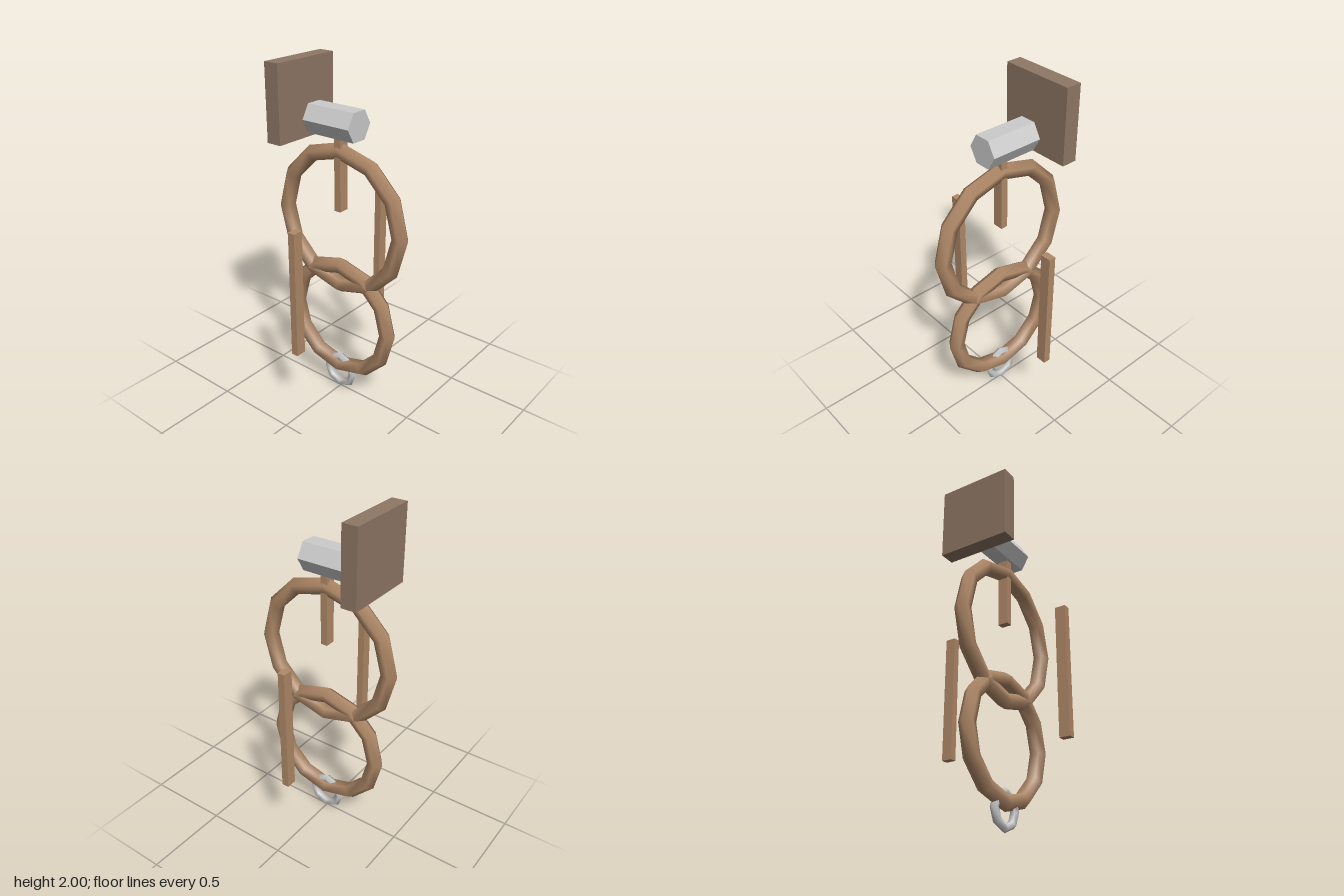
import * as THREE from 'three';

export function createModel() {
  const model = new THREE.Group();
  const wood = new THREE.MeshStandardMaterial({ color: 0xb08968 });
  const darkWood = new THREE.MeshStandardMaterial({ color: 0x8f7765 });
  const metal = new THREE.MeshStandardMaterial({ color: 0xcccccc });
  const metalFlat = new THREE.MeshStandardMaterial({ color: 0xcccccc, flatShading: true });

  function add(name, geometry, material, x, y, z) {
    const mesh = new THREE.Mesh(geometry, material);
    mesh.name = name;
    mesh.position.set(x, y, z);
    model.add(mesh);
  }

  // Upright low-poly ring lying in the y-z plane, with a five-sided tube
  const ring = (radius, tube, segments) =>
    new THREE.TorusGeometry(radius, tube, 5, segments).rotateY(Math.PI / 2);

  // Linked wooden rings and the small metal ring at the foot
  add('upperRing', ring(0.407, 0.048, 12), wood, 0, 1.127, 0);
  add('lowerRing', ring(0.344, 0.048, 12), wood, 0, 0.5, 0);
  add('bottomRing', ring(0.095, 0.025, 8), metal, 0, 0.12, 0);

  // Free-hanging side rods
  for (const [name, s] of [['leftRod', 1], ['rightRod', -1]]) {
    add(name, new THREE.BoxGeometry(0.062, 0.75, 0.042), wood, s * 0.376, 0.815, 0);
  }

  // Central rod hanging from the hexagonal bar
  add('centreRod', new THREE.BoxGeometry(0.062, 0.5, 0.042), wood, 0, 1.44, 0);

  // Hexagonal bar pointing forward, flats on top and bottom
  const bar = new THREE.CylinderGeometry(0.093, 0.093, 0.311, 6, 1, false, Math.PI / 6);
  add('hexBar', bar.rotateX(Math.PI / 2), metalFlat, 0, 1.69, -0.033);

  // Mounting board behind the bar
  add('backBoard', new THREE.BoxGeometry(0.438, 0.435, 0.092), darkWood, 0, 1.7825, -0.284);

  return model;
}
